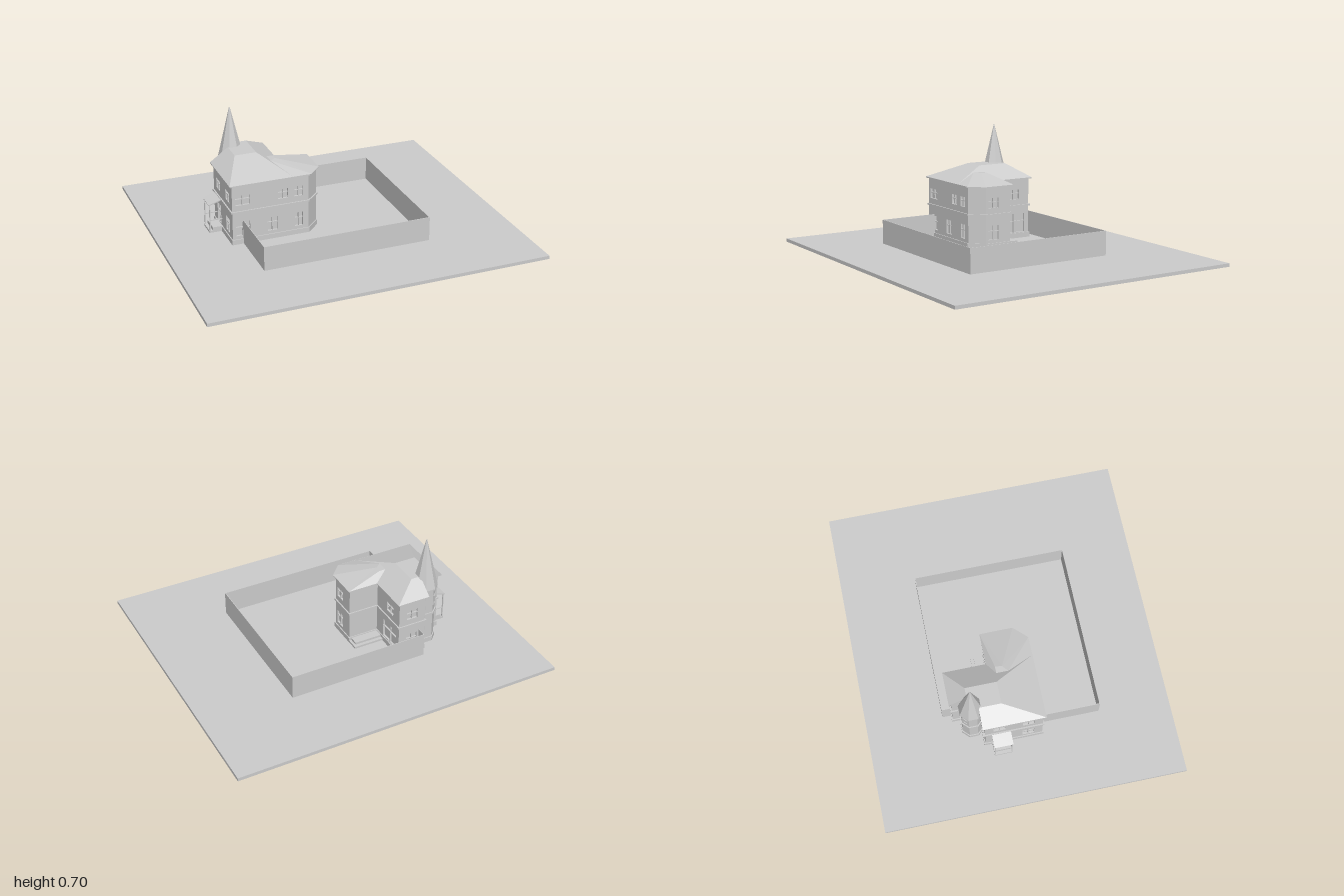
import * as THREE from 'three';

const mat = new THREE.MeshStandardMaterial({ color: 0xcccccc, flatShading: true });
const thinMat = new THREE.MeshStandardMaterial({ color: 0xcccccc, flatShading: true, side: THREE.DoubleSide });

function add(parent, name, geo, x = 0, y = 0, z = 0, material = mat) {
  const m = new THREE.Mesh(geo, material);
  m.name = name;
  m.position.set(x, y, z);
  parent.add(m);
  return m;
}

// Box given by its two extreme corners
function block(parent, name, x0, y0, z0, x1, y1, z1) {
  return add(parent, name, new THREE.BoxGeometry(x1 - x0, y1 - y0, z1 - z0),
    (x0 + x1) / 2, (y0 + y1) / 2, (z0 + z1) / 2);
}

// House outline [x, z], walked from the front right corner along the front
const plan = [[-0.605, 0.115], [-0.145, 0.115], [-0.07, 0.04], [-0.07, -0.13], [-0.255, -0.13],
  [-0.255, -0.385], [-0.425, -0.385], [-0.425, -0.225], [-0.605, -0.225]];

// Openings per wall: [start, bottom, end, top] along that wall
const lo = [0.07, 0.155], hi = [0.26, 0.32];
const win = (a, b, [y0, y1]) => [a, y0, b, y1];
const openings = {
  0: [win(0.02, 0.105, hi), win(0.275, 0.335, hi), win(0.375, 0.425, hi),
    win(0.02, 0.105, lo), win(0.21, 0.27, lo), win(0.375, 0.425, lo)],
  2: [win(0.02, 0.09, hi), win(0.02, 0.09, lo)],
  4: [win(0.11, 0.185, hi), [0.075, 0.055, 0.225, 0.17]],
  5: [win(0.05, 0.12, hi), win(0.05, 0.12, lo)],
  8: [win(0.05, 0.12, hi), win(0.22, 0.29, hi), win(0.22, 0.29, lo), [0.06, 0.055, 0.125, 0.17]],
};

// The outline pushed outward by d with mitred corners
function offsetPlan(d) {
  const n = plan.length;
  const normal = (i) => {
    const [a, b] = [plan[i], plan[(i + 1) % n]];
    const dx = b[0] - a[0], dz = b[1] - a[1], l = Math.hypot(dx, dz);
    return [-dz / l, dx / l];
  };
  return plan.map(([x, z], i) => {
    const p = normal((i + n - 1) % n), q = normal(i);
    const k = d / (1 + p[0] * q[0] + p[1] * q[1]);
    return [x + (p[0] + q[0]) * k, z + (p[1] + q[1]) * k];
  });
}

// Horizontal band following the house outline
function band(parent, name, d, y0, y1) {
  const shape = new THREE.Shape(offsetPlan(d).map(([x, z]) => new THREE.Vector2(x, -z)));
  const geo = new THREE.ExtrudeGeometry(shape, { depth: y1 - y0, bevelEnabled: false });
  geo.rotateX(-Math.PI / 2);
  add(parent, name, geo, 0, y0, 0);
}

// Cross bars and recessed pane of a window, in wall coordinates
function glazing(parent, [a, y0, b, y1]) {
  const mx = (a + b) / 2, my = y0 + (y1 - y0) * 0.6, t = 0.002;
  block(parent, 'windowPane', a, y0, -0.016, b, y1, -0.013);
  block(parent, 'windowMullion', mx - t, y0, -0.013, mx + t, y1, -0.003);
  block(parent, 'windowTransom', a, my - t, -0.013, b, my + t, -0.003);
}

function wall(parent, i) {
  const a = plan[i], b = plan[(i + 1) % plan.length];
  const dx = b[0] - a[0], dz = b[1] - a[1], len = Math.hypot(dx, dz);
  const rect = (P, x0, y0, x1, y1) => {
    const p = new P();
    p.moveTo(x0, y0).lineTo(x1, y0).lineTo(x1, y1).lineTo(x0, y1).closePath();
    return p;
  };
  const shape = rect(THREE.Shape, 0, 0.02, len, 0.385);
  const g = new THREE.Group();
  g.name = 'wall';
  g.position.set(a[0], 0, a[1]);
  g.rotation.y = Math.atan2(-dz, dx);
  for (const o of openings[i] || []) {
    shape.holes.push(rect(THREE.Path, ...o));
    glazing(g, o);
  }
  add(g, 'wallPanel', new THREE.ExtrudeGeometry(shape, { depth: 0.012, bevelEnabled: false }), 0, 0, -0.012);
  parent.add(g);
}

// Flat convex faces split into triangle fans
function faces(parent, name, list) {
  const pos = [];
  for (const f of list)
    for (let i = 1; i < f.length - 1; i++) pos.push(...f[0], ...f[i], ...f[i + 1]);
  const geo = new THREE.BufferGeometry();
  geo.setAttribute('position', new THREE.Float32BufferAttribute(pos, 3));
  geo.computeVertexNormals();
  add(parent, name, geo, 0, 0, 0, thinMat);
}

function roofs(parent) {
  const E = (x, z) => [x, 0.39, z], T = (x, z) => [x, 0.468, z], M = (x, z) => [x, 0.437, z];
  faces(parent, 'mainRoof', [
    [E(-0.62, 0.128), T(-0.51, -0.11), T(-0.51, -0.24), E(-0.62, -0.24)],
    [E(-0.62, 0.128), E(-0.24, 0.128), T(-0.38, -0.11), T(-0.51, -0.11)],
    [E(-0.24, 0.128), E(-0.24, -0.4), T(-0.38, -0.295), T(-0.38, -0.11)],
    [E(-0.24, -0.4), E(-0.44, -0.4), T(-0.44, -0.295), T(-0.38, -0.295)],
    [T(-0.51, -0.11), T(-0.38, -0.11), T(-0.38, -0.24), T(-0.51, -0.24)],
    [T(-0.44, -0.24), T(-0.38, -0.24), T(-0.38, -0.295), T(-0.44, -0.295)],
    [E(-0.44, -0.24), E(-0.62, -0.24), T(-0.51, -0.24), T(-0.44, -0.24)],
    [E(-0.44, -0.4), E(-0.44, -0.24), T(-0.44, -0.24), T(-0.44, -0.295)],
  ]);
  const a = M(-0.32, -0.1), b = M(-0.28, -0.1), c = M(-0.285, -0.06), d = M(-0.32, -0.03);
  faces(parent, 'bayRoof', [
    [a, d, c, b],
    [d, E(-0.24, 0.128), E(-0.13, 0.128), c],
    [c, E(-0.13, 0.128), E(-0.055, 0.05)],
    [c, E(-0.055, 0.05), E(-0.055, -0.145), b],
    [b, E(-0.055, -0.145), E(-0.24, -0.145), a],
  ]);
}

// Eight-sided stair tower with a tall spire
function tower(parent) {
  const g = new THREE.Group();
  g.name = 'tower';
  g.position.set(-0.48, 0, -0.28);
  const ring = (name, r0, r1, y0, y1) => {
    add(g, name, new THREE.CylinderGeometry(r1, r0, y1 - y0, 8), 0, (y0 + y1) / 2, 0).rotation.y = Math.PI / 8;
  };
  ring('towerBody', 0.065, 0.065, 0.02, 0.385);
  ring('towerPlinth', 0.071, 0.071, 0.02, 0.05);
  ring('towerCornice', 0.072, 0.072, 0.215, 0.225);
  ring('towerEave', 0.076, 0.076, 0.383, 0.39);
  ring('spire', 0.076, 0.002, 0.39, 0.7);
  const w = new THREE.Group();
  w.name = 'towerWindow';
  w.rotation.y = -Math.PI * 0.75;
  for (const s of [-1, 1]) {
    block(w, 'windowJamb', s * 0.014 - 0.002, 0.27, 0.058, s * 0.014 + 0.002, 0.33, 0.064);
    block(w, 'windowRail', -0.016, 0.298 + s * 0.03, 0.058, 0.016, 0.302 + s * 0.03, 0.064);
  }
  g.add(w);
  parent.add(g);
}

// Lean-to entrance porch with posts and steps
function porch(parent) {
  const g = new THREE.Group();
  g.name = 'porch';
  const slope = Math.atan2(0.026, 0.08);
  add(g, 'porchRoof', new THREE.BoxGeometry(0.085, 0.006, 0.112), -0.645, 0.208, -0.131).rotation.z = slope;
  for (const z of [-0.18, -0.082]) {
    block(g, 'porchPost', -0.682, 0.02, z - 0.003, -0.676, 0.197, z + 0.003);
    block(g, 'porchRail', -0.68, 0.095, z - 0.002, -0.605, 0.1, z + 0.002);
  }
  block(g, 'lowerStep', -0.685, 0.02, -0.185, -0.6, 0.032, -0.077);
  block(g, 'upperStep', -0.665, 0.032, -0.185, -0.6, 0.052, -0.077);
  parent.add(g);
}

// Thin yard wall running from the wing round to the front
function yardWall(parent) {
  const path = [[-0.39, -0.385], [-0.39, -0.44], [0.455, -0.44], [0.455, 0.47], [-0.54, 0.47], [-0.54, 0.115]];
  const t = 0.002;
  for (let i = 0; i < path.length - 1; i++) {
    const [a, b] = [path[i], path[i + 1]];
    block(parent, 'yardWall', Math.min(a[0], b[0]) - t, 0.02, Math.min(a[1], b[1]) - t,
      Math.max(a[0], b[0]) + t, 0.165, Math.max(a[1], b[1]) + t);
  }
}

export function createModel() {
  const root = new THREE.Group();
  root.name = 'walledHouse';
  block(root, 'groundSlab', -1, 0, -0.895, 1, 0.02, 0.895);
  yardWall(root);

  const house = new THREE.Group();
  house.name = 'house';
  plan.forEach((_, i) => wall(house, i));
  band(house, 'plinth', 0.006, 0.02, 0.05);
  band(house, 'cornice', 0.008, 0.215, 0.225);
  band(house, 'eave', 0.014, 0.383, 0.39);
  roofs(house);
  tower(house);
  porch(house);
  // Low terrace steps in the inner corner
  block(house, 'terraceUpperStep', -0.255, 0.02, -0.19, -0.08, 0.045, -0.13);
  block(house, 'terraceLowerStep', -0.255, 0.02, -0.21, -0.065, 0.032, -0.13);
  root.add(house);
  return root;
}
